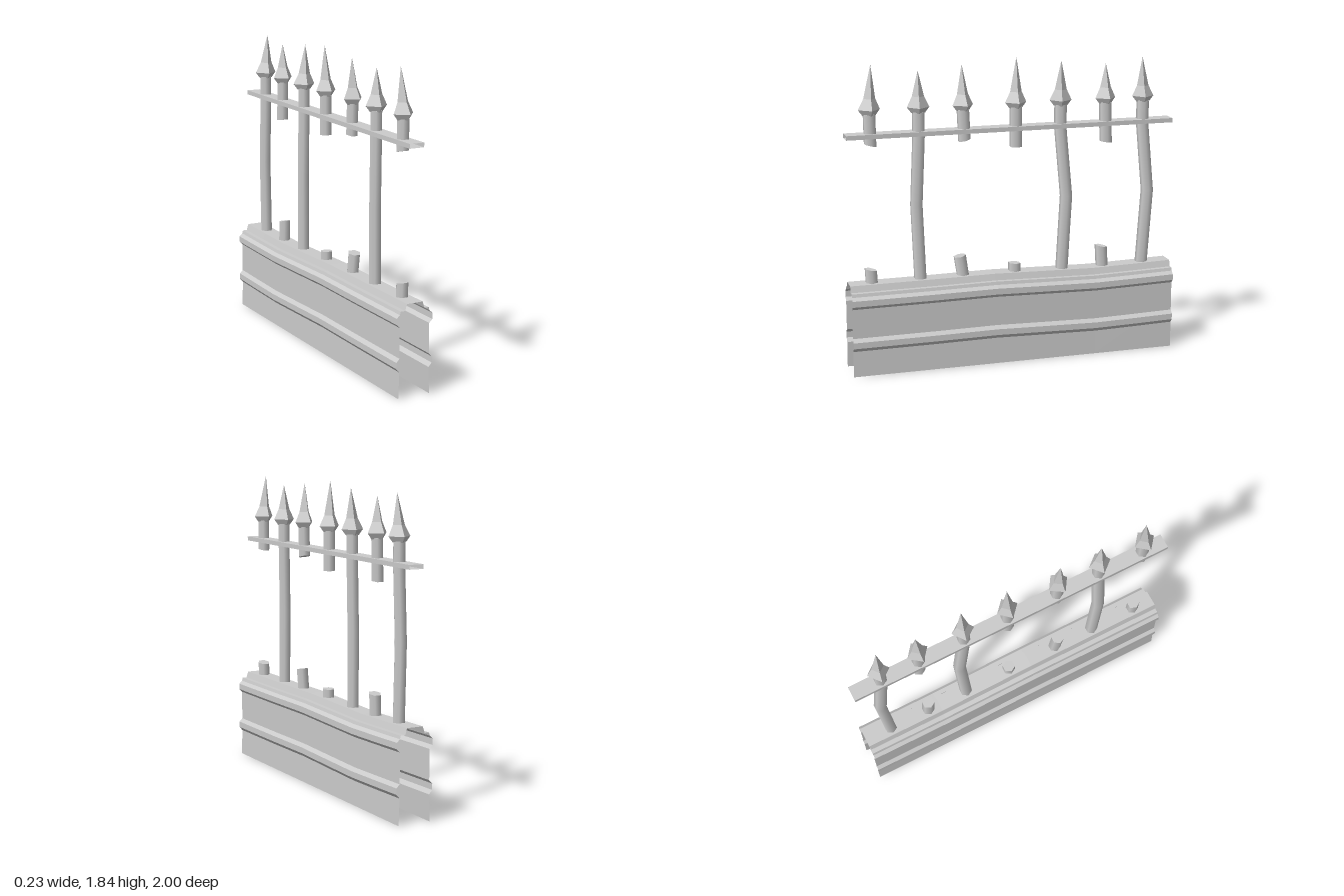
import * as THREE from 'three';

const material = new THREE.MeshStandardMaterial({ color: 0xcccccc, side: THREE.DoubleSide });
const flat = new THREE.MeshStandardMaterial({ color: 0xcccccc, side: THREE.DoubleSide, flatShading: true });

function addMesh(parent, name, geometry, mat) {
  const mesh = new THREE.Mesh(geometry, mat);
  mesh.name = name;
  parent.add(mesh);
}

// Sweep an x/y profile along z through the given stations, leaving the ends open
function sweep(profile, stations, lift) {
  const pos = [], index = [], n = profile.length;
  for (const z of stations)
    for (const [x, y] of profile) pos.push(x, y + lift(y, z), z);
  for (let s = 0; s < stations.length - 1; s++)
    for (let i = 0; i < n - 1; i++) {
      const a = s * n + i, b = a + n;
      index.push(a, a + 1, b, b, a + 1, b + 1);
    }
  const geo = new THREE.BufferGeometry();
  geo.setAttribute('position', new THREE.Float32BufferAttribute(pos, 3));
  geo.setIndex(index);
  const out = geo.toNonIndexed();
  out.computeVertexNormals();
  return out;
}

// Six-sided bar through points [x, y, z] from bottom to top; the end cuts slope along z
function bar(points, cutBottom = 0, cutTop = 0) {
  const n = points.length - 1;
  const geo = new THREE.CylinderGeometry(0.038, 0.038, n, 6, n).rotateY(Math.PI / 2);
  const p = geo.attributes.position;
  for (let i = 0; i < p.count; i++) {
    const k = Math.round(p.getY(i) + n / 2), [cx, cy, cz] = points[k];
    const cut = k === 0 ? cutBottom : k === n ? cutTop : 0;
    const x = p.getX(i), z = p.getZ(i);
    p.setXYZ(i, cx + x, cy + cut * z, cz + z);
  }
  return geo;
}

// Four-sided spear head with a leaning tip
function spearHead(z, tipY, lean, tipX, turn) {
  const profile = [[0, 1.538], [0.04, 1.538], [0.066, 1.572], [0.036, 1.635], [0, tipY]]
    .map(([r, y]) => new THREE.Vector2(r, y));
  const geo = new THREE.LatheGeometry(profile, 4).rotateY(turn);
  const p = geo.attributes.position;
  for (let i = 0; i < p.count; i++) {
    const t = Math.max(0, (p.getY(i) - 1.572) / (tipY - 1.572));
    p.setX(i, p.getX(i) + tipX * t);
    p.setZ(i, p.getZ(i) + z + lean * t);
  }
  return geo;
}

export function createModel() {
  const group = new THREE.Group();
  group.name = 'brokenFence';

  // Hollow base wall with two mouldings, sagging gently along its length
  const half = [
    [0.1, 0], [0.095, 0.155], [0.115, 0.178], [0.115, 0.214], [0.095, 0.235],
    [0.095, 0.412], [0.115, 0.432], [0.115, 0.468], [0.095, 0.486], [0.09, 0.505],
    [0.062, 0.505], [0.05, 0.543],
  ];
  const basePoints = [...half, ...half.map(([x, y]) => [-x, y]).reverse()];
  const sag = [[-1, 0], [-0.75, -0.006], [-0.5, -0.011], [-0.2, -0.004], [0.12, 0.004], [0.5, 0.001], [1, 0]];
  const sagAt = new Map(sag);
  addMesh(group, 'baseWall', sweep(basePoints, sag.map(s => s[0]),
    (y, z) => sagAt.get(z) * Math.min(1, y / 0.15)), flat);

  // Top rail, open at both ends
  const railPoints = [[0.045, 1.407], [0.045, 1.433], [-0.045, 1.433], [-0.045, 1.407], [0.045, 1.407]];
  addMesh(group, 'topRail', sweep(railPoints, [-1, 1], () => 0), flat);

  // Bars: whole ones bend at "mid" [x, z]; broken ones have an upper part and a stump [baseZ, topY, topZ, cut]
  const bars = [
    { z: 0.856, tip: 1.83, lean: -0.016, tipX: -0.01, turn: 0.1, end: 1.363, endZ: 0.853, cut: 0.25, stump: [0.86, 0.622, 0.866, 0.22] },
    { z: 0.567, tip: 1.785, lean: 0, tipX: 0, turn: -0.08, mid: [-0.013, 0.583], foot: 0.567 },
    { z: 0.3, tip: 1.81, lean: 0.004, tipX: -0.008, turn: 0.2, end: 1.363, endZ: 0.292, cut: -0.25, stump: [0.302, 0.663, 0.326, -0.2] },
    { z: -0.022, tip: 1.84, lean: -0.005, tipX: -0.005, turn: 0.05, end: 1.306, endZ: -0.022, cut: 0.02, stump: [-0.014, 0.593, -0.014, 0.05] },
    { z: -0.3, tip: 1.81, lean: 0, tipX: 0.01, turn: -0.15, mid: [0.012, -0.335], foot: -0.312 },
    { z: -0.582, tip: 1.78, lean: 0, tipX: 0, turn: 0.12, end: 1.304, endZ: -0.588, cut: 0.15, stump: [-0.575, 0.657, -0.566, 0.2] },
    { z: -0.822, tip: 1.81, lean: 0.01, tipX: 0.01, turn: -0.1, mid: [0.008, -0.858], foot: -0.828 },
  ];
  for (const b of bars) {
    addMesh(group, 'spearHead', spearHead(b.z, b.tip, b.lean, b.tipX, b.turn), flat);
    const top = [0, 1.545, b.z];
    if (b.mid) {
      addMesh(group, 'wholeBar', bar([[0, 0.505, b.foot], [b.mid[0], 0.99, b.mid[1]], [0, 1.4, b.z], top]), material);
    } else {
      const [baseZ, topY, topZ, cut] = b.stump;
      addMesh(group, 'brokenBarTop', bar([[0, b.end, b.endZ], top], b.cut), material);
      addMesh(group, 'brokenBarStump', bar([[0, 0.505, baseZ], [0, topY, topZ]], 0, cut), material);
    }
  }
  return group;
}
